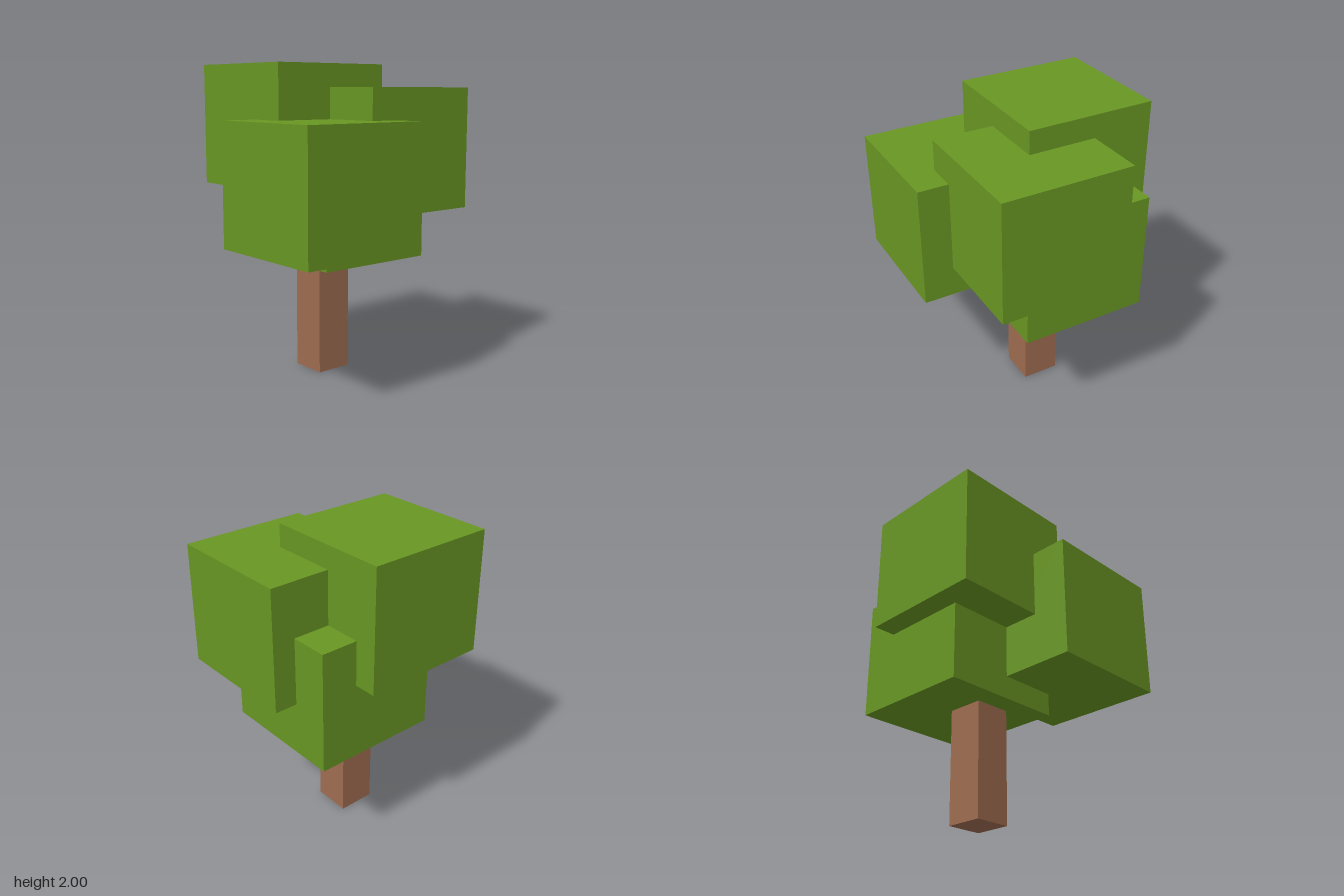
import * as THREE from 'three';

export function createModel() {
  const tree = new THREE.Group();
  tree.name = 'tree';

  const leafGreen = new THREE.MeshStandardMaterial({ color: 0x689623 });
  leafGreen.name = 'leafGreen';
  const barkBrown = new THREE.MeshStandardMaterial({ color: 0x9e6c50 });
  barkBrown.name = 'barkBrown';

  // Adds a box centred on x and z, with its base at y
  function addBlock(name, material, width, height, x, y, z) {
    const mesh = new THREE.Mesh(new THREE.BoxGeometry(width, height, width), material);
    mesh.name = name;
    mesh.position.set(x, y + height / 2, z);
    tree.add(mesh);
  }

  // Square trunk, ending inside the lowest leaf block
  addBlock('trunk', barkBrown, 0.242, 0.8, -0.1, 0, -0.021);

  // Four equal leaf blocks stacked in a spiral: name, x, base y, z
  const leafBlocks = [
    ['lowerLeaves', -0.148, 0.735, -0.17],
    ['frontLeaves', 0.292, 0.883, 0.315],
    ['backLeaves', 0.097, 1.078, -0.317],
    ['topLeaves', -0.293, 1.224, 0.073],
  ];
  for (const [name, x, y, z] of leafBlocks) {
    addBlock(name, leafGreen, 0.827, 0.776, x, y, z);
  }

  return tree;
}
